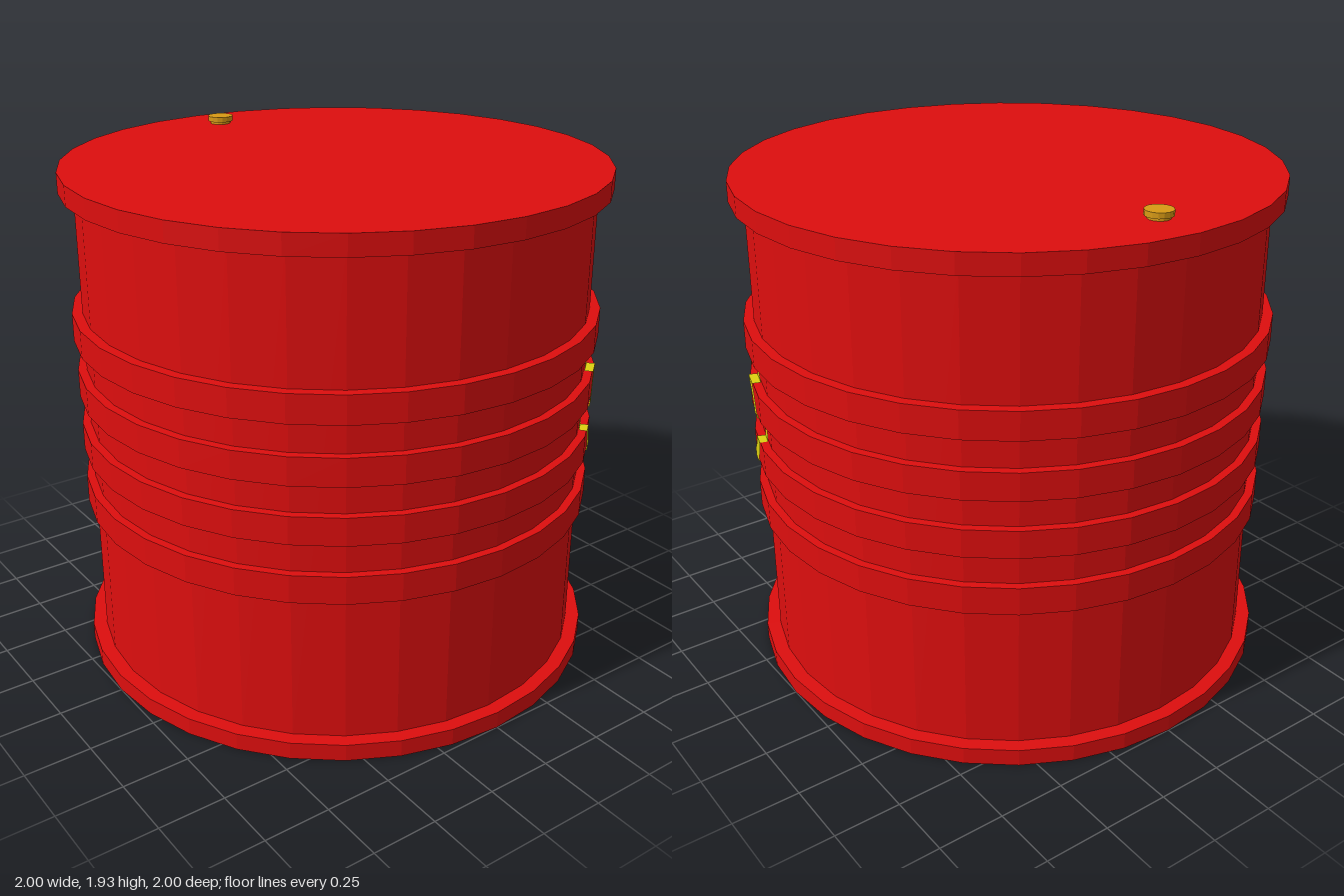
import * as THREE from 'three';

const SIDES = 32, BODY_R = 0.947, STEP = (Math.PI * 2) / SIDES;
// Raised ribs: bottom, top, radius
const RIBS = [[0.62, 0.725, 0.978], [0.84, 0.945, 0.978], [1.055, 1.16, 0.979], [1.275, 1.38, 0.985]];
const LIFT = 0.004; // thickness of the paint
const DEG = Math.PI / 180;
const MARK_ANGLE = 55.7 * DEG, MARK_Y = 1.01;

// Point on the faceted drum, just above its surface
function drumPoint(radius, angle, y) {
  const local = (((angle % STEP) + STEP) % STEP) - STEP / 2;
  const r = (radius * Math.cos(STEP / 2)) / Math.cos(local) + LIFT;
  return [r * Math.sin(angle), y, r * Math.cos(angle)];
}

// Rows from y0 to y1, doubled at rib edges so paint steps over the ledges
function paintRows(y0, y1) {
  const rows = [], n = Math.ceil((y1 - y0) / 0.008);
  const edges = RIBS.flatMap(([a, b, r]) => [[a - LIFT, BODY_R, r], [b + LIFT, r, BODY_R]]);
  const radiusAt = (y) => (RIBS.find(([a, b]) => y > a - LIFT && y < b + LIFT) || [0, 0, BODY_R])[2];
  for (let i = 0; i <= n; i++) {
    const y = y0 + ((y1 - y0) * i) / n;
    rows.push({ y, radius: radiusAt(y) });
  }
  edges.filter(([y]) => y > y0 && y < y1).forEach(([y, below, above]) => {
    const at = rows.findIndex((row) => row.y > y);
    rows.splice(at, 0, { y, radius: below }, { y, radius: above });
  });
  return rows;
}

// Painted patch whose angular limits at each height come from span(y)
function paintPatch(y0, y1, span, columns = 14) {
  const positions = [], index = [];
  const rows = paintRows(y0, y1);
  rows.forEach(({ y, radius }, j) => {
    const [a, b] = span(y);
    for (let i = 0; i <= columns; i++) {
      positions.push(...drumPoint(radius, MARK_ANGLE + (a + ((b - a) * i) / columns) * DEG, y));
      if (j > 0 && i > 0) {
        const d = j * (columns + 1) + i, c = d - 1, e = d - columns - 1, f = e - 1;
        index.push(f, e, d, f, d, c);
      }
    }
  });
  const geometry = new THREE.BufferGeometry();
  geometry.setAttribute('position', new THREE.Float32BufferAttribute(positions, 3));
  geometry.setIndex(index);
  geometry.computeVertexNormals();
  return geometry;
}

// Half width in degrees of an ellipse at height y
const ellipse = (y, cy, ry, half) => half * Math.sqrt(Math.max(0, 1 - ((y - cy) / ry) ** 2));

// Linear lookup in a [y, half width] profile
function lookup(profile, y) {
  for (let i = 1; i < profile.length; i++) {
    const [ya, wa] = profile[i - 1], [yb, wb] = profile[i];
    if (y <= yb) return wa + ((wb - wa) * (y - ya)) / (yb - ya);
  }
  return profile[profile.length - 1][1];
}

export function createModel() {
  const group = new THREE.Group();
  const material = (name, color, extra = {}) => {
    const m = new THREE.MeshStandardMaterial({ color, flatShading: true, ...extra });
    m.name = name;
    return m;
  };
  const red = material('red paint', 0xdd0e0e);
  const yellow = material('yellow paint', 0xddd010, { side: THREE.DoubleSide });
  const brass = material('brass', 0xd89a14);

  const add = (name, geometry, mat) => {
    const mesh = new THREE.Mesh(geometry, mat);
    mesh.name = name;
    group.add(mesh);
    return mesh;
  };
  const disc = (name, y0, y1, r, mat = red, sides = SIDES) => {
    const mesh = add(name, new THREE.CylinderGeometry(r, r, y1 - y0, sides), mat);
    mesh.position.y = (y0 + y1) / 2;
    return mesh;
  };

  // Drum shell, rims and ribs
  add('body', new THREE.CylinderGeometry(BODY_R, BODY_R, 1.8, SIDES, 1, true), red).position.y = 0.95;
  disc('bottomRim', 0, 0.065, 1);
  disc('topRim', 1.825, 1.9, 1);
  RIBS.forEach(([a, b, r], i) => disc('rib' + (i + 1), a, b, r));

  // Filler cap near the back of the lid
  disc('capStem', 1.9, 1.912, 0.04, brass, 16).position.z = -0.81;
  disc('capHead', 1.91, 1.93, 0.05, brass, 16).position.z = -0.81;

  // Warning ring, as two mirrored halves
  const outer = (y) => ellipse(y, MARK_Y, 0.26, 20.2);
  const inner = (y) => ellipse(y, MARK_Y, 0.205, 16.8);
  add('warningRingRight', paintPatch(0.75, 1.27, (y) => [inner(y), outer(y)]), yellow);
  add('warningRingLeft', paintPatch(0.75, 1.27, (y) => [-outer(y), -inner(y)]), yellow);

  // Exclamation bar and dot
  const bar = [[0.895, 0.8], [0.915, 1.7], [0.96, 2.0], [1.05, 2.7], [1.13, 2.9], [1.155, 2.0], [1.165, 1]];
  add('warningBar', paintPatch(0.895, 1.165, (y) => [-lookup(bar, y), lookup(bar, y)]), yellow);
  const dot = (y) => ellipse(y, 0.85, 0.02, 1.5);
  add('warningDot', paintPatch(0.83, 0.87, (y) => [-dot(y), dot(y)]), yellow);

  return group;
}
